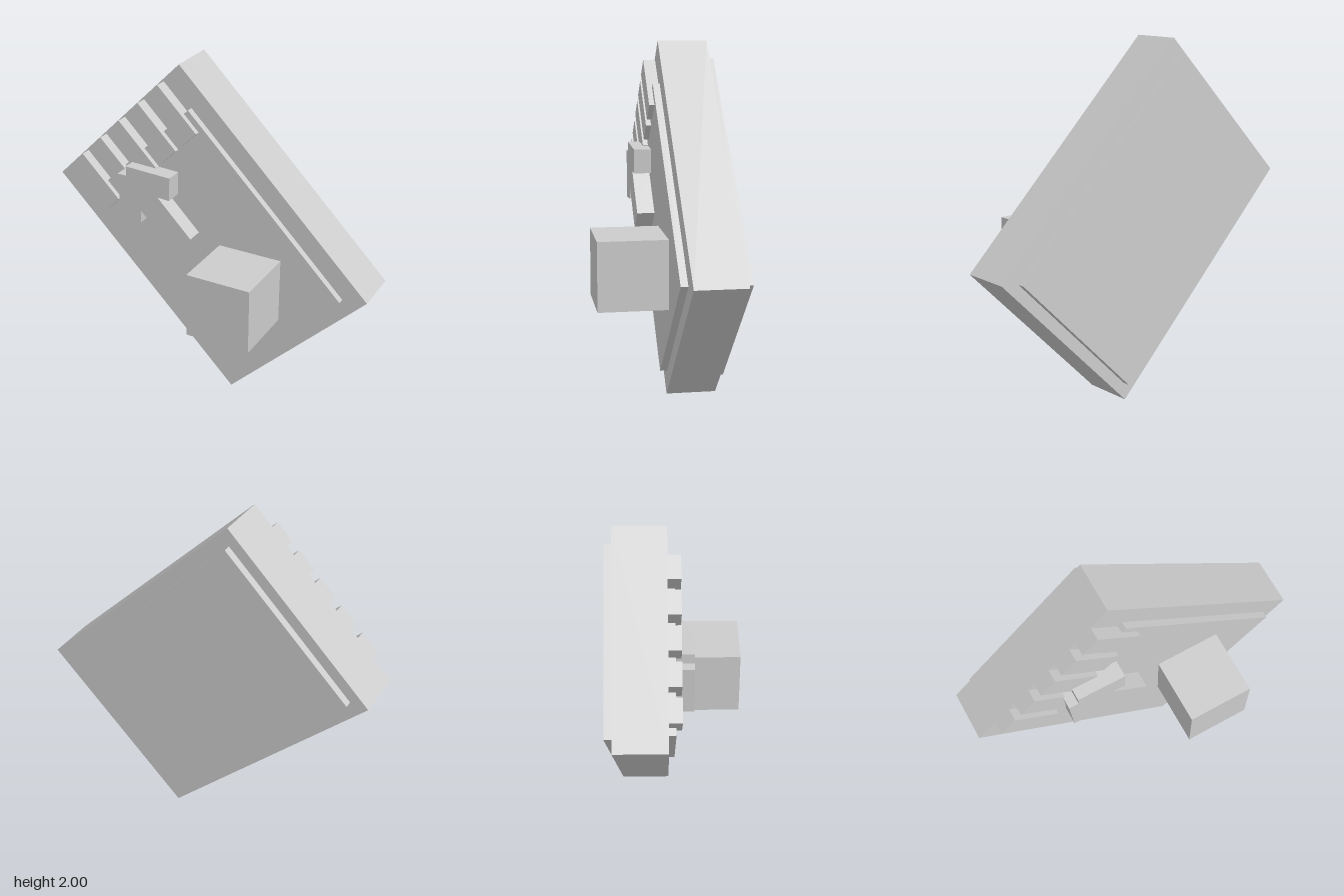
import * as THREE from 'three';

export function createModel() {
  const model = new THREE.Group();
  const grey = new THREE.MeshStandardMaterial({ color: 0xcccccc });
  grey.name = 'lightGrey';

  // Box given by its centre in x and y, its size, and its back and front depth
  const addBox = (parent, name, x, y, w, h, back, front) => {
    const mesh = new THREE.Mesh(new THREE.BoxGeometry(w, h, front - back), grey);
    mesh.name = name;
    mesh.position.set(x, y, (back + front) / 2);
    parent.add(mesh);
  };

  // Slab, turned 45 degrees so that it stands on one corner
  const slab = new THREE.Group();
  slab.name = 'slab';
  slab.position.y = 1;
  slab.rotation.z = -Math.PI / 4 + Math.PI / 2;
  model.add(slab);
  addBox(slab, 'body', 0, 0, 1.168, 1.66, -0.335, -0.05);
  addBox(slab, 'frontPanel', 0, -0.066, 0.94, 1.346, -0.05, -0.01);
  addBox(slab, 'backPanel', 0, 0, 1.01, 1.53, -0.378, -0.335);

  // Row of contact strips along the upper edge
  for (let i = -2; i <= 2; i++) {
    addBox(slab, 'contactStrip', 0.002 + i * 0.184, 0.648, 0.129, 0.342, -0.05, 0.02);
  }

  // Upright cube standing out from the front panel
  addBox(model, 'cube', 0.298, 0.782, 0.385, 0.387, -0.01, 0.376);

  // Arrow pointing to the upper left
  const outline = [
    [-0.507, 1.33], [-0.492, 1.043], [-0.357, 1.052], [-0.354, 1.128],
    [-0.14, 0.912], [-0.029, 1.024], [-0.243, 1.24], [-0.167, 1.235],
    [-0.162, 1.376], [-0.449, 1.388], [-0.449, 1.33],
  ].map(([x, y]) => new THREE.Vector2(x, y));
  const arrow = new THREE.Mesh(
    new THREE.ExtrudeGeometry(new THREE.Shape(outline), { depth: 0.1, bevelEnabled: false }),
    grey
  );
  arrow.name = 'arrow';
  arrow.position.z = -0.01;
  model.add(arrow);

  return model;
}
